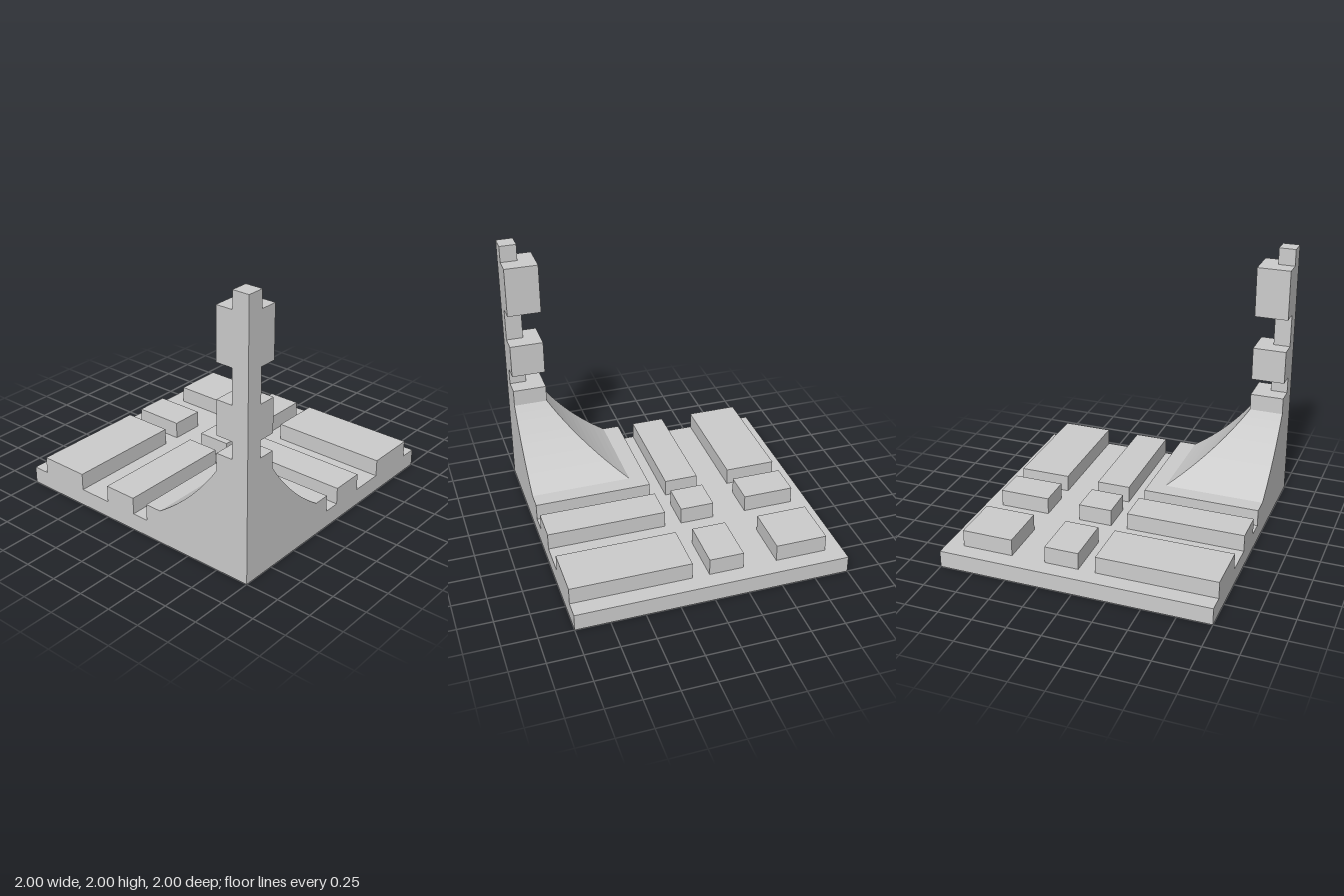
import * as THREE from 'three';

const material = new THREE.MeshStandardMaterial({ color: 0xcccccc, flatShading: true });

// Box given by its extents on each axis
function block(name, [x0, x1], [y0, y1], [z0, z1]) {
  const geometry = new THREE.BoxGeometry(x1 - x0, y1 - y0, z1 - z0);
  geometry.translate((x0 + x1) / 2, (y0 + y1) / 2, (z0 + z1) / 2);
  const mesh = new THREE.Mesh(geometry, material);
  mesh.name = name;
  return mesh;
}

// Quarter pyramid whose two inner sides sweep up in a concave arc to the corner
function flaredFoot() {
  const steps = 12;
  const cx = -0.75, cy = 1.75, r = Math.sqrt(3.25);
  const a0 = Math.atan2(0.25 - cy, 0.25 - cx);
  const a1 = Math.atan2(0.75 - cy, 0.75 - cx);
  const geometry = new THREE.BoxGeometry(1, 1, 1, 1, steps, 1);
  const p = geometry.attributes.position;
  for (let i = 0; i < p.count; i++) {
    const a = THREE.MathUtils.lerp(a0, a1, p.getY(i) + 0.5);
    const inner = cx + r * Math.cos(a);
    p.setXYZ(i, p.getX(i) < 0 ? inner : 1, cy + r * Math.sin(a), p.getZ(i) < 0 ? inner : 1);
  }
  geometry.computeVertexNormals();
  const mesh = new THREE.Mesh(geometry, material);
  mesh.name = 'flaredFoot';
  return mesh;
}

export function createModel() {
  const model = new THREE.Group();
  model.name = 'towerCornerTile';
  model.add(block('basePlate', [-1, 1], [0, 0.125], [-1, 1]));

  // Grid of raised city blocks separated by streets
  const spans = [[-0.875, -0.5], [-0.25, 0], [0.125, 1]];
  const blocks = new THREE.Group();
  blocks.name = 'cityBlocks';
  for (const x of spans) {
    for (const z of spans) blocks.add(block('cityBlock', x, [0.125, 0.25], z));
  }
  model.add(blocks);

  // Corner tower: flared foot, then alternating wide and narrow sections
  const tower = new THREE.Group();
  tower.name = 'tower';
  tower.add(flaredFoot());
  const levels = [0.75, 0.875, 1, 1.25, 1.5, 1.875, 2];
  for (let i = 0; i < levels.length - 1; i++) {
    const wide = i % 2 === 0;
    const side = [wide ? 0.75 : 0.875, 1];
    tower.add(block(wide ? 'towerBlock' : 'towerNeck', side, [levels[i], levels[i + 1]], side));
  }
  model.add(tower);
  return model;
}
